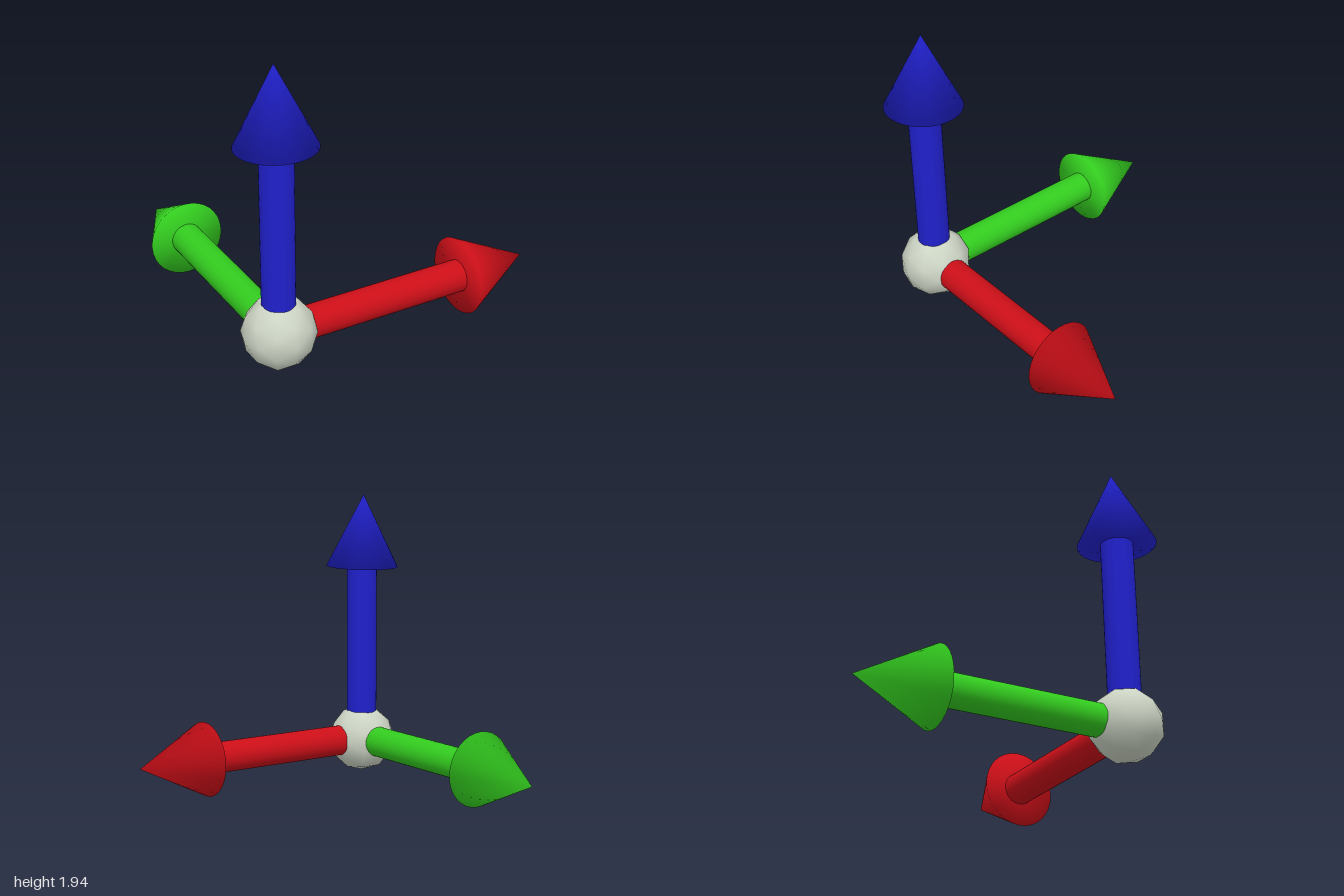
import * as THREE from 'three';
import { mergeVertices } from 'three/addons/utils/BufferGeometryUtils.js';

const SIDES = 32;
const HEAD_RADIUS = 0.246, HEAD_HEIGHT = 0.49, SHAFT_RADIUS = 0.102;
const HUB = [-0.755, 0.252, 0.755];

// Closed cone, base at y = 0, with normals blended softly around the rim
function headGeometry() {
  const profile = [[0, 0], [HEAD_RADIUS, 0], [0, HEAD_HEIGHT]].map(([x, y]) => new THREE.Vector2(x, y));
  const geometry = new THREE.LatheGeometry(profile, SIDES);
  const position = geometry.attributes.position, normal = geometry.attributes.normal;
  for (let i = 0; i < position.count; i++) {
    const x = position.getX(i), y = position.getY(i), z = position.getZ(i);
    if (Math.hypot(x, z) < 0.01) normal.setXYZ(i, 0, y > 0.1 ? 1 : -1, 0);
    else normal.setXYZ(i, 0.85 * x / HEAD_RADIUS, -0.526, 0.85 * z / HEAD_RADIUS);
  }
  return geometry;
}

// Arrow along +y: round shaft and a slightly tilted cone head
function createArrow(name, color, length) {
  const arrow = new THREE.Group();
  arrow.name = name;
  const material = new THREE.MeshStandardMaterial({ color });

  const shaft = new THREE.Mesh(new THREE.CylinderGeometry(SHAFT_RADIUS, SHAFT_RADIUS, length, SIDES), material);
  shaft.name = name + 'Shaft';
  shaft.position.y = length / 2;

  const head = new THREE.Mesh(headGeometry(), material);
  head.name = name + 'Head';
  head.position.y = length;
  head.rotation.x = -0.035;

  arrow.add(shaft, head);
  return arrow;
}

export function createModel() {
  const model = new THREE.Group();
  model.name = 'axisArrows';

  // Coarse ball with smooth shading where the arrows meet
  let ball = new THREE.IcosahedronGeometry(0.228, 1);
  ball.deleteAttribute('normal');
  ball.deleteAttribute('uv');
  ball = mergeVertices(ball);
  ball.computeVertexNormals();
  const hub = new THREE.Mesh(ball, new THREE.MeshStandardMaterial({ color: 0xccd4c4 }));
  hub.name = 'hubBall';
  hub.position.set(...HUB);
  model.add(hub);

  // Three arrows: to the side, up and to the back
  const arrows = [
    ['sideArrow', 0xcc0f18, 1.26, [0, 0, -Math.PI / 2]],
    ['upArrow', 0x2020cc, 1.2, [0, 0, 0]],
    ['backArrow', 0x33cc1f, 1.26, [-Math.PI / 2, 0, 0]],
  ];
  for (const [name, color, length, rotation] of arrows) {
    const arrow = createArrow(name, color, length);
    arrow.position.set(...HUB);
    arrow.rotation.set(...rotation);
    model.add(arrow);
  }
  return model;
}
